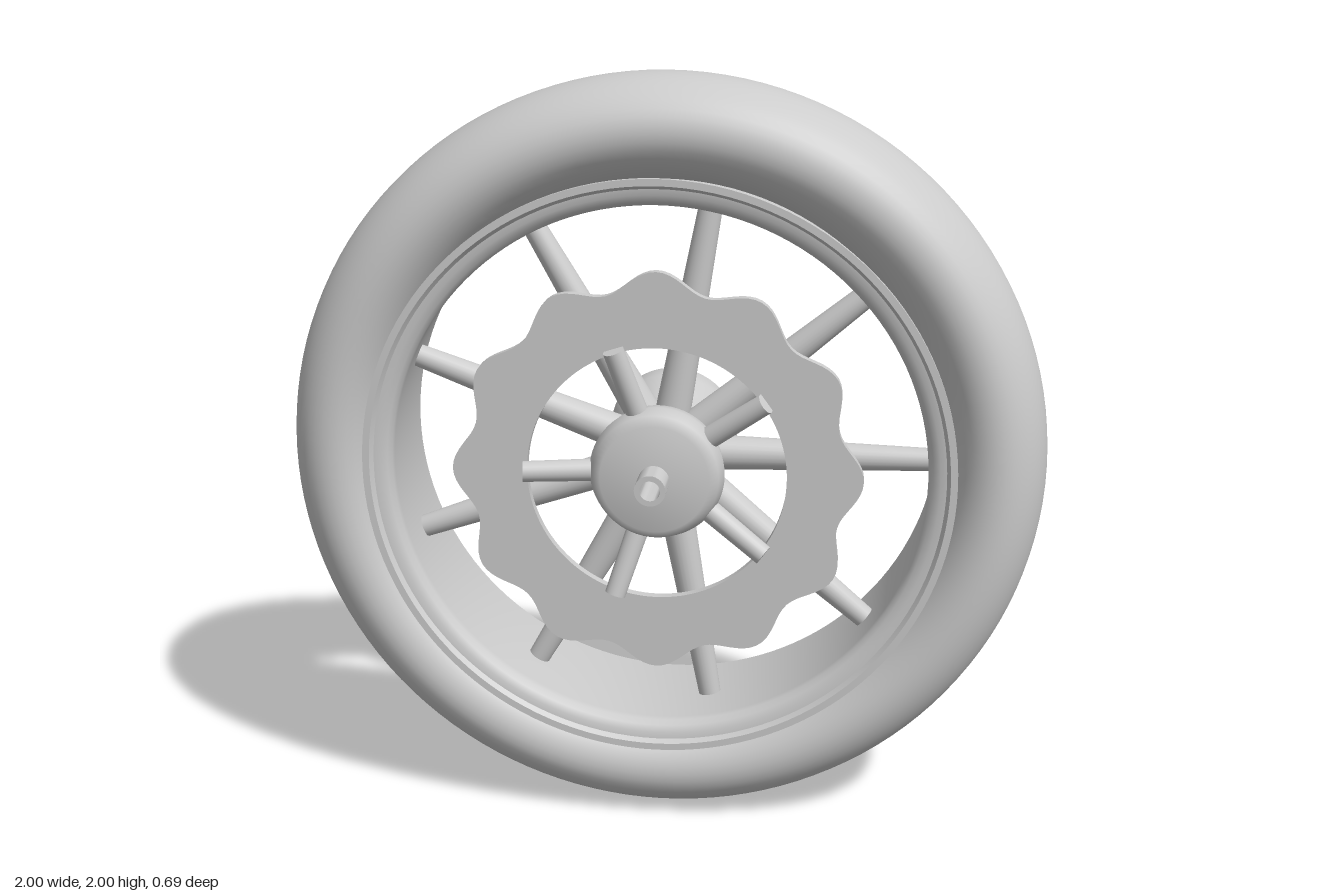
import * as THREE from 'three';
import { toCreasedNormals } from 'three/addons/utils/BufferGeometryUtils.js';

const material = new THREE.MeshStandardMaterial({ color: 0xcccccc });

export function createModel() {
  const model = new THREE.Group();
  model.name = 'wheel';
  const wheel = new THREE.Group();
  wheel.name = 'wheelAssembly';
  wheel.position.y = 1;
  model.add(wheel);

  const add = (name, geometry, parent = wheel) => {
    const mesh = new THREE.Mesh(geometry, material);
    mesh.name = name;
    parent.add(mesh);
    return mesh;
  };

  // Revolves [radius, z] points about the axle (outer side runs towards +z)
  const revolve = (name, points, segments, crease) => {
    let geometry = new THREE.LatheGeometry(points.map(([r, z]) => new THREE.Vector2(r, z)), segments);
    geometry.rotateX(Math.PI / 2);
    if (crease) geometry = toCreasedNormals(geometry, crease);
    return add(name, geometry);
  };

  // Evenly spaced tapered rods, each between two [radius, z] points
  const rods = (name, count, startAngle, from, to, r0, r1) => {
    const group = new THREE.Group();
    group.name = name + 's';
    wheel.add(group);
    const a = new THREE.Vector3(from[0], 0, from[1]);
    const b = new THREE.Vector3(to[0], 0, to[1]);
    const dir = b.clone().sub(a);
    const geometry = new THREE.CylinderGeometry(r1, r0, dir.length(), 24);
    geometry.applyQuaternion(new THREE.Quaternion().setFromUnitVectors(
      new THREE.Vector3(0, 1, 0), dir.clone().normalize()));
    geometry.translate(...a.add(b).multiplyScalar(0.5).toArray());
    for (let i = 0; i < count; i++) {
      add(name, geometry, group).rotation.z = startAngle + (i * 2 * Math.PI) / count;
    }
  };

  // Tyre: oval section
  const tyre = [];
  for (let i = 0; i <= 40; i++) {
    const t = (i / 40) * Math.PI * 2 - Math.PI;
    tyre.push([0.865 + 0.135 * Math.cos(t), 0.187 * Math.sin(t)]);
  }
  revolve('tyre', tyre, 128);

  // Rim: barrel with a flat back flange and a rounded front lip
  revolve('rim', [
    [0.725, -0.235], [0.765, -0.235], [0.765, -0.222], [0.738, -0.2], [0.735, -0.18],
    [0.735, 0.18], [0.738, 0.2], [0.765, 0.222], [0.765, 0.235], [0.747, 0.235],
    [0.738, 0.222], [0.722, 0.22], [0.704, 0.212], [0.694, 0.198], [0.692, 0.18],
    [0.725, -0.235],
  ], 128, 0.6);

  // Hub: two bulging ends joined by a waist
  revolve('hub', [
    [0.035, -0.262], [0.14, -0.255], [0.163, -0.232], [0.175, -0.195], [0.168, -0.15],
    [0.145, -0.09], [0.125, -0.04], [0.12, 0], [0.125, 0.04], [0.145, 0.09],
    [0.168, 0.15], [0.175, 0.195], [0.163, 0.232], [0.14, 0.255], [0.035, 0.262],
  ], 64);

  // Hollow axle
  revolve('axle', [
    [0.026, -0.345], [0.04, -0.345], [0.04, 0.345], [0.026, 0.345], [0.026, -0.345],
  ], 32, 0.6);

  rods('spoke', 9, 0, [0.08, 0], [0.705, 0], 0.048, 0.03);
  rods('discArm', 5, Math.PI / 5, [0.1, 0.175], [0.345, 0.225], 0.03, 0.027);

  // Brake disc: twelve-lobed ring
  const outline = [];
  for (let i = 0; i < 192; i++) {
    const t = (i / 192) * Math.PI * 2;
    const r = 0.506 + 0.024 * Math.cos(12 * t);
    outline.push(new THREE.Vector2(r * Math.cos(t), r * Math.sin(t)));
  }
  const shape = new THREE.Shape(outline);
  shape.holes.push(new THREE.Path().absarc(0, 0, 0.335, 0, Math.PI * 2, true));
  const disc = new THREE.ExtrudeGeometry(shape, { depth: 0.025, bevelEnabled: false, curveSegments: 64 });
  disc.translate(0, 0, 0.19);
  add('brakeDisc', toCreasedNormals(disc, 0.6));

  return model;
}
